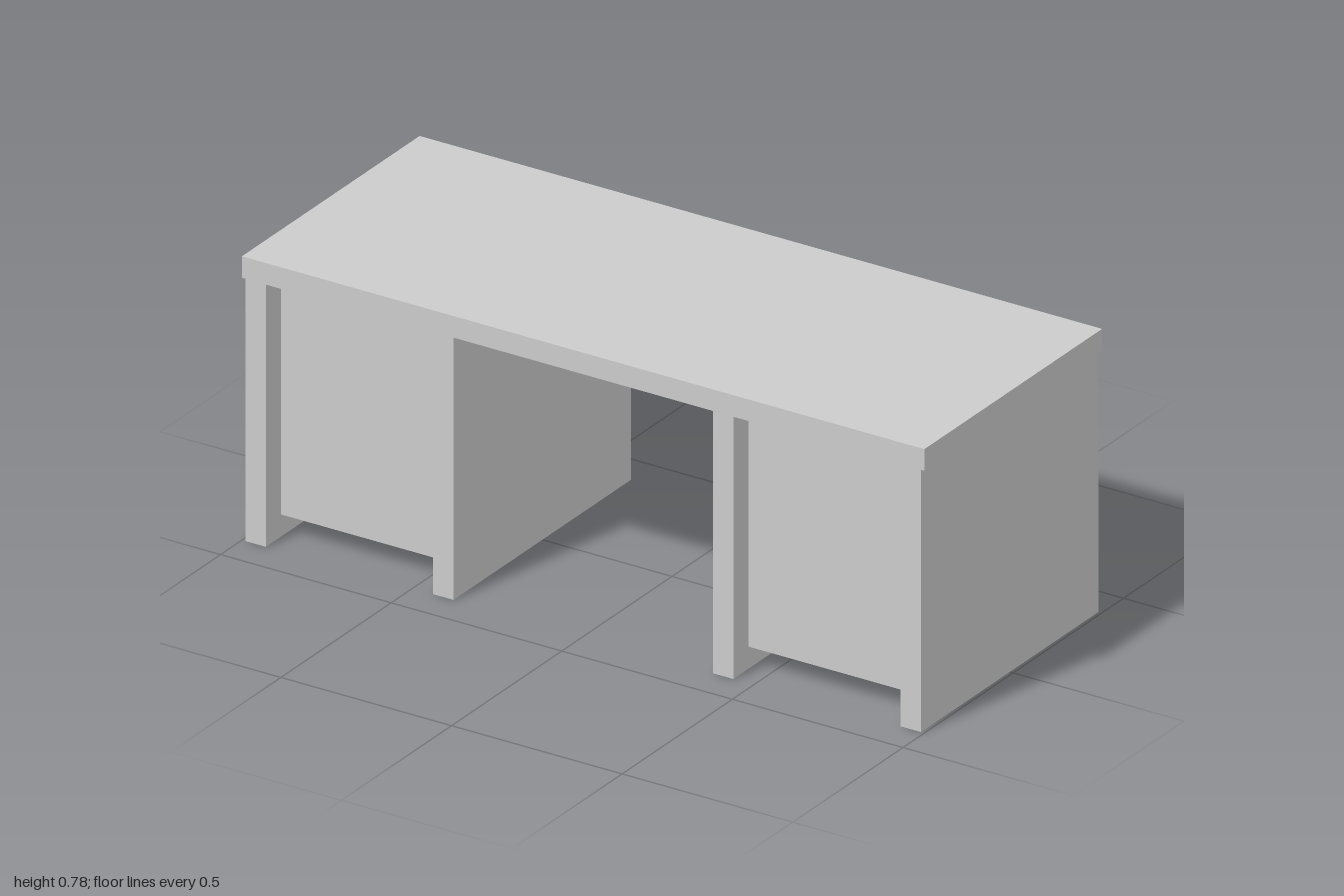
import * as THREE from 'three';

const material = new THREE.MeshStandardMaterial({ color: 0xcccccc });

function add(parent, name, geometry, x, y, z) {
  const mesh = new THREE.Mesh(geometry, material);
  mesh.name = name;
  mesh.position.set(x, y, z);
  parent.add(mesh);
  return mesh;
}

// Box given by its limits on each axis
function addBox(parent, name, [x0, x1], [y0, y1], [z0, z1]) {
  const geometry = new THREE.BoxGeometry(x1 - x0, y1 - y0, z1 - z0);
  return add(parent, name, geometry, (x0 + x1) / 2, (y0 + y1) / 2, (z0 + z1) / 2);
}

// Drawer front with a chamfered rim, facing +z with its back at z = 0
function drawerFrontGeometry(width, height, rim, chamfer) {
  const w = width / 2 - chamfer, h = height / 2 - chamfer;
  const shape = new THREE.Shape([
    new THREE.Vector2(-w, -h), new THREE.Vector2(w, -h),
    new THREE.Vector2(w, h), new THREE.Vector2(-w, h),
  ]);
  const geometry = new THREE.ExtrudeGeometry(shape, {
    depth: rim, bevelEnabled: true, bevelThickness: chamfer, bevelSize: chamfer, bevelSegments: 1,
  });
  return geometry;
}

// Round knob on a short neck, turned about y
function knobGeometry() {
  const points = [[0.008, 0], [0.008, 0.018]].map(([r, y]) => new THREE.Vector2(r, y));
  for (let i = 0; i <= 10; i++) {
    const a = -1.1 + (i / 10) * (1.1 + Math.PI / 2);
    points.push(new THREE.Vector2(Math.max(0, 0.018 * Math.cos(a)), 0.034 + 0.018 * Math.sin(a)));
  }
  return new THREE.LatheGeometry(points, 24);
}

export function createModel() {
  const desk = new THREE.Group();
  desk.name = 'desk';
  const depth = 0.403, underTop = 0.718;

  addBox(desk, 'desktop', [-1, 1], [underTop, 0.777], [-depth, depth]);

  const drawerFront = drawerFrontGeometry(0.48, 0.205, 0.006, 0.011);
  const knob = knobGeometry();

  for (const side of [-1, 1]) {
    const pedestal = new THREE.Group();
    pedestal.name = side > 0 ? 'leftPedestal' : 'rightPedestal';
    pedestal.position.x = side * 0.685;
    desk.add(pedestal);

    // Full-depth side panels reaching the floor
    for (const s of [-1, 1]) {
      const x = s * 0.275;
      addBox(pedestal, 'sidePanel', [x - 0.03, x + 0.03], [0, underTop], [-depth, depth]);
    }
    // Recessed cabinet body between the panels
    addBox(pedestal, 'cabinetBody', [-0.245, 0.245], [0.06, underTop], [-0.315, 0.333]);

    // Three drawers at the back
    for (let i = 0; i < 3; i++) {
      const drawer = new THREE.Group();
      drawer.name = 'drawer';
      drawer.position.set(0, 0.168 + i * 0.2125, -0.325);
      drawer.rotation.y = Math.PI;
      pedestal.add(drawer);
      add(drawer, 'drawerFront', drawerFront, 0, 0, 0);
      add(drawer, 'knob', knob, 0, 0, 0.016).rotation.x = Math.PI / 2;
    }
  }
  return desk;
}
